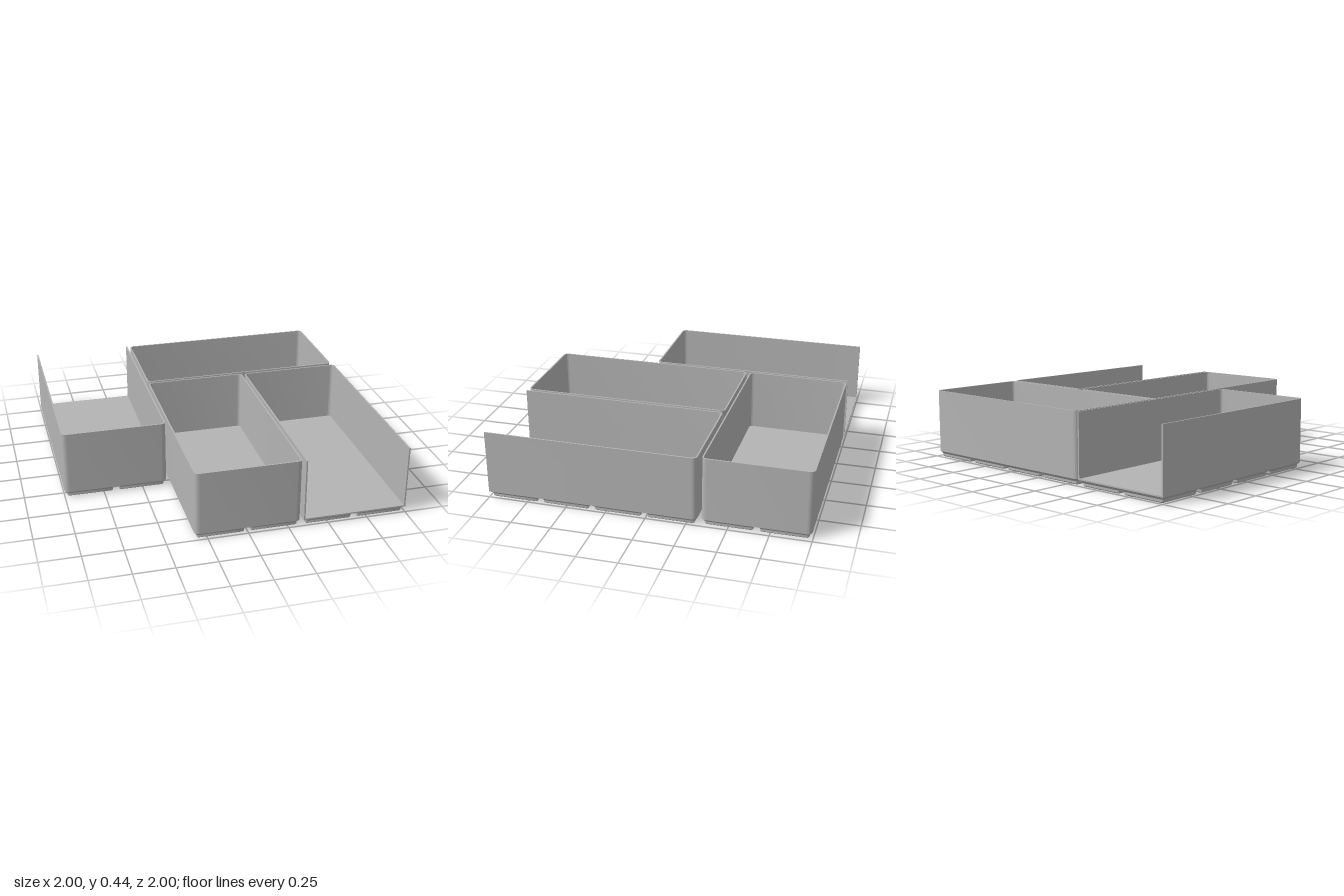
import * as THREE from 'three';
import { toCreasedNormals } from 'three/addons/utils/BufferGeometryUtils.js';

const PITCH = 0.33, CELL = 0.325;       // grid spacing and foot size
const W = 0.655 / 2, L = 1.315 / 2;     // half width and half length of a bin
const R = 0.03, T = 0.009;              // corner radius and wall thickness
const FOOT_TOP = 0.037, FLOOR_TOP = 0.046, HEIGHT = 0.44;

// Outline of a bin; the -y end of the shape is square when open
function outline(path, w, l, r, open) {
  path.moveTo(w, open ? -l : -l + r);
  path.lineTo(w, l - r);
  path.absarc(w - r, l - r, r, 0, Math.PI / 2, false);
  path.absarc(-w + r, l - r, r, Math.PI / 2, Math.PI, false);
  if (open) {
    path.lineTo(-w, -l);
  } else {
    path.absarc(-w + r, -l + r, r, Math.PI, Math.PI * 1.5, false);
    path.absarc(w - r, -l + r, r, Math.PI * 1.5, Math.PI * 2, false);
  }
  return path;
}

// Three-sided wall outline, open at the -y end
function openWall() {
  const s = outline(new THREE.Shape(), W, L, R, true);
  const r = R - T;
  s.lineTo(-W + T, -L);
  s.lineTo(-W + T, L - R);
  s.absarc(-W + R, L - R, r, Math.PI, Math.PI / 2, true);
  s.absarc(W - R, L - R, r, Math.PI / 2, 0, true);
  s.lineTo(W - T, -L);
  return s;
}

function closedWall() {
  const s = outline(new THREE.Shape(), W, L, R, false);
  s.holes.push(outline(new THREE.Path(), W - T, L - T, R - T, false));
  return s;
}

// Extrude a plan shape upwards between two heights
function raise(shape, y0, y1) {
  const g = new THREE.ExtrudeGeometry(shape, { depth: y1 - y0, bevelEnabled: false, curveSegments: 8 });
  g.rotateX(-Math.PI / 2).translate(0, y0, 0);
  return toCreasedNormals(g, 0.5);
}

// Stepped, chamfered foot lofted through rounded squares
function footGeometry() {
  const levels = [[0, 0.023], [0.006, 0.017], [0.02, 0.017], [FOOT_TOP, 0]]; // height, inset
  const seg = 6, n = 4 * (seg + 1);
  const pos = [], index = [];
  for (const [y, inset] of levels) {
    const h = CELL / 2 - inset, r = R - inset;
    for (let c = 0; c < 4; c++) {
      const mid = Math.PI / 4 + c * Math.PI / 2;
      const cx = Math.sign(Math.cos(mid)) * (h - r), cz = -Math.sign(Math.sin(mid)) * (h - r);
      for (let k = 0; k <= seg; k++) {
        const a = (c + k / seg) * Math.PI / 2;
        pos.push(cx + r * Math.cos(a), y, cz - r * Math.sin(a));
      }
    }
  }
  for (let i = 0; i < levels.length - 1; i++) {
    for (let j = 0; j < n; j++) {
      const a = i * n + j, b = i * n + (j + 1) % n;
      index.push(a, b, b + n, a, b + n, a + n);
    }
  }
  const centre = pos.length / 3;
  pos.push(0, 0, 0);
  for (let j = 0; j < n; j++) index.push(centre, (j + 1) % n, j);
  const g = new THREE.BufferGeometry();
  g.setAttribute('position', new THREE.Float32BufferAttribute(pos, 3));
  g.setIndex(index);
  return toCreasedNormals(g, 0.5);
}

export function createModel() {
  const grey = new THREE.MeshStandardMaterial({ color: 0xb4b4b4 });
  grey.name = 'grey plastic';
  const model = new THREE.Group();
  model.name = 'storageBins';
  const foot = footGeometry();

  function add(parent, name, geometry) {
    const mesh = new THREE.Mesh(geometry, grey);
    mesh.name = name;
    parent.add(mesh);
    return mesh;
  }

  function bin(name, open, x, z, turn) {
    const g = new THREE.Group();
    g.name = name;
    add(g, 'walls', raise(open ? openWall() : closedWall(), FOOT_TOP, HEIGHT));
    add(g, 'floor', raise(outline(new THREE.Shape(), W - 0.001, L, R, open), FOOT_TOP, FLOOR_TOP));
    // Two by four grid of feet
    for (let i = 0; i < 2; i++) {
      for (let j = 0; j < 4; j++) {
        add(g, 'foot', foot).position.set((i - 0.5) * PITCH, 0, (j - 1.5) * PITCH);
      }
    }
    g.position.set(x, 0, z);
    g.rotation.y = turn;
    model.add(g);
  }

  // Pinwheel arrangement: the two outer bins lack one end wall
  bin('rightOpenBin', true, -1 + W, -1 + L, Math.PI);
  bin('backBin', false, 0.3295, -0.6675, Math.PI / 2);
  bin('middleBin', false, -0.0005, 0.3375, 0);
  bin('leftOpenBin', true, 1 - W, 1 - L, 0);
  return model;
}
